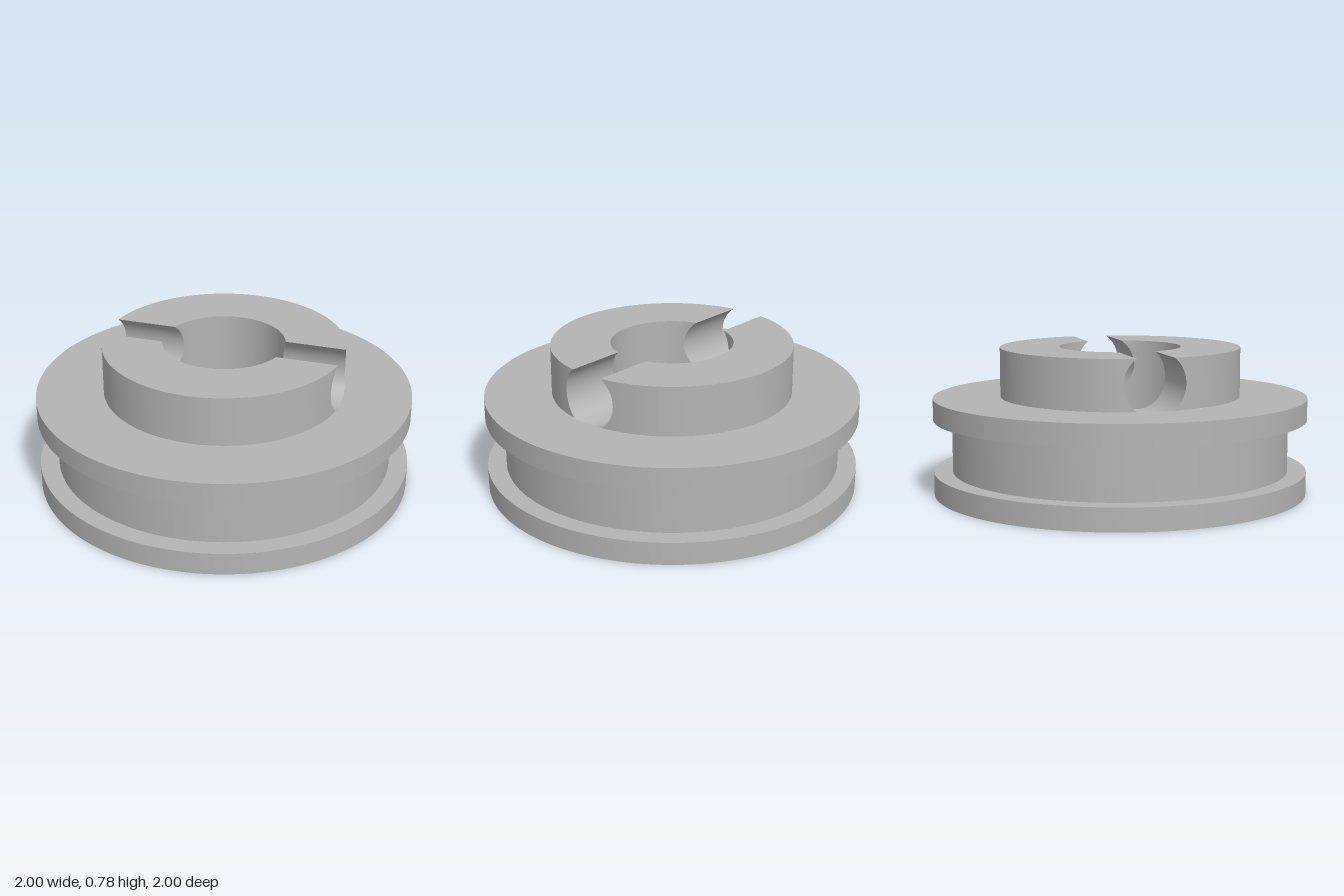
import * as THREE from 'three';
import { toCreasedNormals } from 'three/addons/utils/BufferGeometryUtils.js';
import { ParametricGeometry } from 'three/addons/geometries/ParametricGeometry.js';

const BORE = 0.325, HUB = 0.642, RIM = 1, GROOVE = 0.9;
const FLANGE_TOP = 0.515, HUB_TOP = 0.778;
// Round cross slot running along x
const SLOT_R = 0.163, SLOT_Y = (FLANGE_TOP + HUB_TOP) / 2, SLOT_END = 0.645;
const OPEN = Math.asin((HUB_TOP - SLOT_Y) / SLOT_R);
const SLOT_W = SLOT_R * Math.cos(OPEN);

const lerp = THREE.MathUtils.lerp;
const slotBottom = (z) => SLOT_Y - Math.sqrt(SLOT_R ** 2 - z ** 2);

function grid(fn, slices, stacks) {
  const geometry = new ParametricGeometry((u, v, p) => p.set(...fn(u, v)), slices, stacks);
  geometry.computeVertexNormals();
  return geometry;
}

// Point on a half-hub wall of radius r: k runs along the arc, v runs up
function wall(r, k, v) {
  const phi = lerp(-OPEN, OPEN, v);
  const start = Math.asin(SLOT_R * Math.cos(phi) / r);
  const t = lerp(start, Math.PI - start, k);
  return [r * Math.cos(t), SLOT_Y + SLOT_R * Math.sin(phi), r * Math.sin(t)];
}
const across = (k, v, s) => {
  const a = wall(BORE, k, v), b = wall(HUB, k, v);
  return a.map((n, i) => lerp(n, b[i], s));
};

export function createModel() {
  const model = new THREE.Group();
  model.name = 'groovedPulley';
  const metal = new THREE.MeshStandardMaterial({ color: 0xb4b4b4 });
  metal.name = 'grey metal';
  const add = (parent, name, geometry) => {
    const mesh = new THREE.Mesh(geometry, metal);
    mesh.name = name;
    parent.add(mesh);
    return mesh;
  };

  // Underside, two flanges and the groove between them
  const profile = [[BORE, 0], [RIM, 0], [RIM, 0.12], [GROOVE, 0.12], [GROOVE, 0.4], [RIM, 0.4], [RIM, FLANGE_TOP]]
    .map(([x, y]) => new THREE.Vector2(x, y));
  add(model, 'groovedWheel', toCreasedNormals(new THREE.LatheGeometry(profile, 128), 0.6));

  // Flange top, open under the hub and at the slot ends
  const top = new THREE.Shape().absarc(0, 0, RIM, 0, Math.PI * 2);
  const start = Math.asin(SLOT_W / HUB);
  const hole = new THREE.Path();
  hole.moveTo(SLOT_END, SLOT_W);
  hole.absarc(0, 0, HUB, start, Math.PI - start);
  hole.lineTo(-SLOT_END, SLOT_W);
  hole.lineTo(-SLOT_END, -SLOT_W);
  hole.absarc(0, 0, HUB, Math.PI + start, Math.PI * 2 - start);
  hole.lineTo(SLOT_END, -SLOT_W);
  hole.closePath();
  top.holes.push(hole);
  const flangeTop = add(model, 'flangeTop', new THREE.ShapeGeometry(top, 64));
  flangeTop.rotation.x = -Math.PI / 2;
  flangeTop.position.y = FLANGE_TOP;

  // Bore below the hub, dipping where the slot crosses it
  add(model, 'bore', grid((u, v) => {
    const t = u * Math.PI * 2, z = BORE * Math.sin(t);
    const height = Math.abs(z) < SLOT_W ? slotBottom(z) : FLANGE_TOP;
    return [BORE * Math.cos(t), height * v, z];
  }, 192, 1));

  // Two matching hub halves, each with one slot floor
  for (const side of [0, 1]) {
    const half = new THREE.Group();
    half.name = side ? 'rearHubHalf' : 'frontHubHalf';
    half.rotation.y = side * Math.PI;
    model.add(half);
    add(half, 'hubOuterWall', grid((u, v) => wall(HUB, 1 - u, v), 72, 24));
    add(half, 'hubInnerWall', grid((u, v) => wall(BORE, u, v), 72, 24));
    add(half, 'hubTop', grid((u, v) => across(u, 1, v), 72, 1));
    add(half, 'slotWallLeft', grid((u, v) => across(0, v, 1 - u), 1, 24));
    add(half, 'slotWallRight', grid((u, v) => across(1, v, u), 1, 24));

    const floorPoint = (v) => {
      const phi = lerp(-Math.PI + OPEN, -OPEN, v);
      return [SLOT_R * Math.cos(phi), SLOT_Y + SLOT_R * Math.sin(phi)];
    };
    add(half, 'slotFloor', grid((u, v) => {
      const [z, y] = floorPoint(v);
      return [lerp(SLOT_END, Math.sqrt(BORE ** 2 - z ** 2), u), y, z];
    }, 1, 20));
    add(half, 'slotEnd', grid((u, v) => {
      const [z, y] = floorPoint(v);
      return [SLOT_END, lerp(FLANGE_TOP, y, u), z];
    }, 1, 20));
  }
  return model;
}
